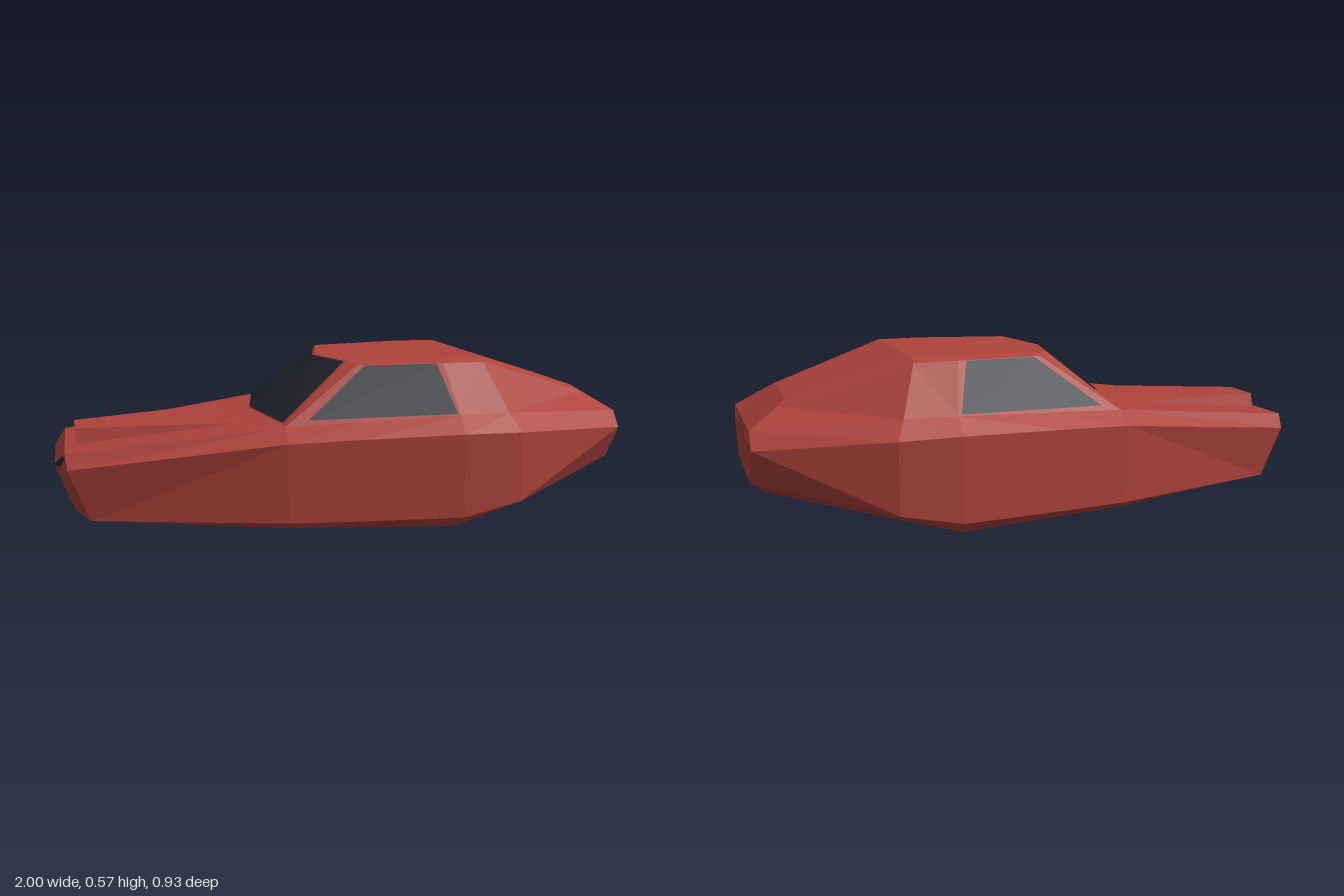
import * as THREE from 'three';

const mat = (name, color, side = THREE.FrontSide) => {
  const m = new THREE.MeshStandardMaterial({ color, side });
  m.name = name;
  return m;
};

// Flat-shaded mesh from polygons given on the +z half, mirrored to -z
function mirroredMesh(name, polys, material) {
  const pos = [];
  const fan = (p) => {
    for (let i = 1; i < p.length - 1; i++) pos.push(...p[0], ...p[i], ...p[i + 1]);
  };
  for (const p of polys) {
    fan(p);
    fan(p.map(([x, y, z]) => [x, y, -z]).reverse());
  }
  const geo = new THREE.BufferGeometry();
  geo.setAttribute('position', new THREE.Float32BufferAttribute(pos, 3));
  geo.computeVertexNormals();
  const mesh = new THREE.Mesh(geo, material);
  mesh.name = name;
  return mesh;
}

const mix = (a, b, t) => a.map((v, i) => v + (b[i] - v) * t);

// Point inside a quad: u runs a to b, v runs a to d
const inQuad = ([a, b, c, d], u, v) => mix(mix(a, b, u), mix(d, c, u), v);

// Lift a polygon slightly off the surface along its normal
function lift(pts, h) {
  const [a, b, c] = pts.map((p) => new THREE.Vector3(...p));
  const n = b.sub(a).cross(c.sub(a)).normalize().multiplyScalar(h).toArray();
  return pts.map((p) => p.map((v, i) => v + n[i]));
}

export function createModel() {
  const red = mat('body red', 0xae433b);
  const glass = mat('dark glass', 0x23252f, THREE.DoubleSide);
  const lamp = mat('tail light red', 0xe0474f, THREE.DoubleSide);
  const car = new THREE.Group();
  car.name = 'wedgeCar';

  // Half sections, nose to tail:
  // bottom edge, sill, belt, shoulder, roof edge, roof inner, centre line
  const sections = [
    [[-0.82, 0.035, 0.19], [-0.89, 0.055, 0.24], [-0.96, 0.235, 0.255], [-0.965, 0.285, 0.228],
      [-0.965, 0.285, 0.2], [-0.965, 0.285, 0.17], [-0.965, 0.285, 0]],
    [[-0.25, 0.017, 0.35], [-0.25, 0.05, 0.41], [-0.25, 0.32, 0.412], [-0.25, 0.365, 0.35],
      [-0.25, 0.368, 0.335], [-0.25, 0.37, 0.32], [-0.31, 0.372, 0]],
    [[0, 0.01, 0.375], [0, 0.048, 0.437], [0, 0.328, 0.436], [0, 0.376, 0.373],
      [0.02, 0.555, 0.268], [-0.01, 0.566, 0.235], [-0.07, 0.56, 0]],
    [[0.34, 0, 0.405], [0.35, 0.045, 0.465], [0.35, 0.335, 0.466], [0.35, 0.39, 0.405],
      [0.32, 0.557, 0.305], [0.32, 0.57, 0.27], [0.32, 0.57, 0]],
    [[0.56, 0.047, 0.33], [0.56, 0.087, 0.455], [0.56, 0.33, 0.456], [0.53, 0.39, 0.4],
      [0.47, 0.555, 0.295], [0.47, 0.57, 0.26], [0.47, 0.57, 0]],
    [[0.95, 0.13, 0.17], [1, 0.175, 0.22], [1, 0.3, 0.305], [1, 0.355, 0.26],
      [0.9, 0.42, 0.19], [0.87, 0.44, 0.165], [0.87, 0.44, 0]],
  ].map((s) => [[s[0][0], s[0][1], 0], ...s]);

  const shell = [];
  for (let i = 0; i < sections.length - 1; i++) {
    const s = sections[i], t = sections[i + 1];
    for (let j = 0; j < s.length - 1; j++) {
      const quad = [s[j], t[j], t[j + 1], s[j + 1]];
      shell.push(...(j === 0 ? [quad] : [[quad[0], quad[1], quad[2]], [quad[0], quad[2], quad[3]]]));
    }
  }

  // Nose facets
  const n = sections[0];
  const chin = [-0.94, 0.08, 0.17], tip = [-1, 0.24, 0.165];
  const chinMid = [-0.94, 0.08, 0], tipMid = [-1, 0.24, 0];
  shell.push(
    [n[0], n[1], n[2], chin, chinMid],
    [chinMid, chin, tip, tipMid],
    [chin, n[2], n[3], tip],
    [tip, n[3], n[4]],
    [tipMid, tip, n[4], n[5], n[6], n[7]],
  );

  // Tail facets
  const r = sections[5];
  const low = [1, 0.175, 0], high = [1, 0.355, 0];
  shell.push(
    [r[0], low, r[2], r[1]],
    [low, high, r[4], r[3], r[2]],
    [high, r[7], r[6], r[5], r[4]],
  );
  car.add(mirroredMesh('bodyShell', shell, red));

  // Raised wedge on the bonnet
  const baseMid = [-0.93, 0.28, 0], base = [-0.93, 0.28, 0.1];
  const topMid = [-0.93, 0.342, 0], top = [-0.93, 0.342, 0.078];
  const end = [-0.39, 0.359, 0.2], endMid = [-0.39, 0.365, 0];
  car.add(mirroredMesh('bonnetScoop', [
    [topMid, top, end, endMid],
    [base, end, top],
    [baseMid, base, top, topMid],
  ], red));

  // Windscreen, folded along the centre line
  const [, b, c] = sections;
  const screen = [b[6], c[6], c[7], b[7]];
  const corners = [[0.01, 0], [0.98, 0], [0.98, 1], [0.01, 1]];
  const pane = lift(corners.map(([u, v]) => inQuad(screen, u, v)), 0.005);
  pane[2][2] = pane[3][2] = 0;
  car.add(mirroredMesh('windscreen', [pane], glass));

  // Side windows
  car.add(mirroredMesh('sideWindows', [lift([
    [-0.17, 0.384, 0.357], [0.34, 0.392, 0.402], [0.295, 0.553, 0.304], [0.045, 0.551, 0.274],
  ], 0.007)], glass));

  // Dark lamps on the nose corners
  car.add(mirroredMesh('noseLamps', [lift([
    tip, mix(tip, n[3], 0.5), mix(n[4], n[3], 0.3), mix(tip, n[4], 0.85),
  ], 0.003)], glass));

  // Tail lights
  car.add(mirroredMesh('tailLights', [[
    [1.002, 0.31, 0.26], [1.002, 0.31, 0.115], [1.002, 0.34, 0.1], [1.002, 0.34, 0.243],
  ]], lamp));

  return car;
}
